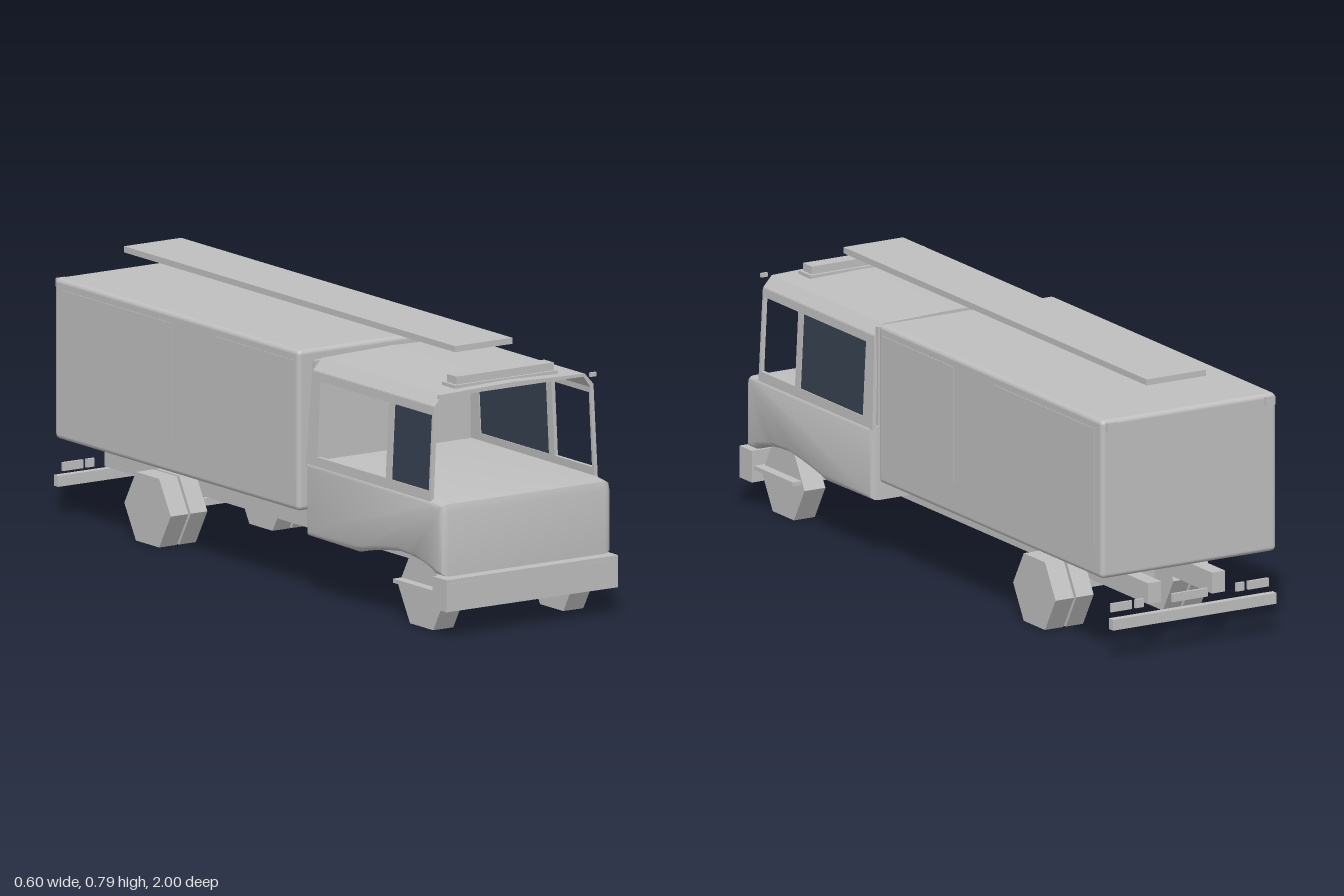
import * as THREE from 'three';
import { toCreasedNormals } from 'three/addons/utils/BufferGeometryUtils.js';
import { RoundedBoxGeometry } from 'three/addons/geometries/RoundedBoxGeometry.js';

export function createModel() {
  const truck = new THREE.Group();
  truck.name = 'truck';
  const grey = new THREE.MeshStandardMaterial({ color: 0xbfbfbf });
  grey.name = 'body grey';
  const dark = new THREE.MeshStandardMaterial({ color: 0x364050 });
  dark.name = 'window glass';

  const add = (name, geometry, material = grey) => {
    const mesh = new THREE.Mesh(geometry, material);
    mesh.name = name;
    truck.add(mesh);
    return mesh;
  };
  // Box given by its limits on each axis
  const box = (name, x0, x1, y0, y1, z0, z1) => {
    const g = new THREE.BoxGeometry(x1 - x0, y1 - y0, z1 - z0);
    g.translate((x0 + x1) / 2, (y0 + y1) / 2, (z0 + z1) / 2);
    return add(name, g);
  };
  // The same box on both sides of the truck
  const pair = (name, x0, x1, ...limits) => {
    box(name + 'Left', x0, x1, ...limits);
    box(name + 'Right', -x1, -x0, ...limits);
  };
  const polygon = (points) => new THREE.Shape(points.map((p) => new THREE.Vector2(...p)));
  const rect = (z0, z1, y0, y1) => [[z0, y0], [z1, y0], [z1, y1], [z0, y1]];

  // Shape drawn as (z, y), made into a thin side wall that leans inward with height
  const sideWall = (shape, side, thickness) => {
    const g = new THREE.ExtrudeGeometry(shape, { depth: thickness, bevelEnabled: false });
    g.rotateY(-Math.PI / 2).translate(thickness / 2, 0, 0);
    const p = g.attributes.position;
    for (let i = 0; i < p.count; i++) {
      p.setX(i, p.getX(i) + side * (0.286 - (p.getY(i) - 0.39) * 0.05));
    }
    g.computeVertexNormals();
    return g;
  };

  // Cargo body with flat side panels
  const cargo = new RoundedBoxGeometry(0.588, 0.47, 1.22, 3, 0.014);
  cargo.translate(0, 0.475, -0.36);
  add('cargoBody', cargo);
  pair('frontPanel', 0.29, 0.296, 0.33, 0.68, -0.16, 0.23);
  pair('rearPanel', 0.29, 0.296, 0.33, 0.68, -0.93, -0.385);

  // Lower cab with shallow wheel arches and rounded edges
  const lower = new THREE.Shape();
  lower.moveTo(0.285, 0.175);
  lower.lineTo(0.285, 0.395);
  lower.lineTo(0.905, 0.393);
  lower.lineTo(0.965, 0.385);
  lower.lineTo(0.972, 0.36);
  lower.lineTo(0.972, 0.175);
  lower.lineTo(0.93, 0.175);
  lower.quadraticCurveTo(0.88, 0.205, 0.75, 0.21);
  lower.quadraticCurveTo(0.62, 0.195, 0.54, 0.172);
  lower.closePath();
  const lowerGeo = new THREE.ExtrudeGeometry(lower, {
    depth: 0.544, bevelEnabled: true, bevelThickness: 0.024, bevelSize: 0.016,
    bevelOffset: -0.016, bevelSegments: 3, curveSegments: 6,
  });
  lowerGeo.rotateY(-Math.PI / 2).translate(0.272, 0, 0);
  add('lowerCab', toCreasedNormals(lowerGeo, 0.7));

  // Cab side frames with two window openings each
  const frontWindow = rect(0.71, 0.897, 0.415, 0.635);
  const rearWindow = rect(0.34, 0.682, 0.415, 0.635);
  for (const side of [1, -1]) {
    const frame = polygon([[0.285, 0.385], [0.907, 0.385], [0.905, 0.66], [0.297, 0.66]]);
    frame.holes.push(polygon(frontWindow), polygon(rearWindow));
    add('cabFrame' + (side > 0 ? 'Left' : 'Right'), sideWall(frame, side, 0.012));
  }
  add('rearGlassLeft', sideWall(polygon(rearWindow), 1, 0.006), dark);
  add('frontGlassRight', sideWall(polygon(frontWindow), -1, 0.006), dark);
  box('cabBackWall', -0.272, 0.272, 0.385, 0.688, 0.288, 0.3);

  // Cab roof with sloping edges
  const roof = polygon([
    [0.279, 0.65], [0.276, 0.662], [0.248, 0.693], [0, 0.7], [-0.248, 0.693], [-0.276, 0.662], [-0.279, 0.65],
    [-0.268, 0.65], [-0.243, 0.685], [0.243, 0.685], [0.268, 0.65],
  ]);
  const roofGeo = new THREE.ExtrudeGeometry(roof, { depth: 0.608, bevelEnabled: false });
  roofGeo.translate(0, 0, 0.298);
  add('cabRoof', roofGeo);

  // Roof equipment
  box('lightBarBase', -0.18, 0.18, 0.69, 0.705, 0.805, 0.87);
  box('lightBar', -0.17, 0.17, 0.7, 0.728, 0.815, 0.862);
  box('ladderPlank', -0.1, 0.1, 0.772, 0.79, -0.9, 0.755);
  pair('frontMarker', 0.254, 0.275, 0.686, 0.698, 0.918, 0.926);
  pair('rearMarker', 0.25, 0.282, 0.68, 0.705, -0.982, -0.974);

  // Chassis rails and rear fittings
  pair('chassisRail', 0.085, 0.13, 0.14, 0.202, -0.955, 0.85);
  box('rearBumper', -0.275, 0.275, 0.093, 0.125, -1, -0.978);
  pair('tailLamp', 0.195, 0.265, 0.14, 0.165, -0.975, -0.967);
  pair('reverseLamp', 0.155, 0.183, 0.14, 0.165, -0.975, -0.967);
  box('rearPlate', -0.06, 0.06, 0.14, 0.165, -0.975, -0.967);

  // Front bumper, headlamps and wheel steps
  box('frontBumper', -0.3, 0.3, 0.078, 0.172, 0.93, 0.998);
  pair('headlamp', 0.205, 0.27, 0.126, 0.16, 0.996, 1);
  pair('headlampOuter', 0.27, 0.288, 0.13, 0.16, 0.996, 1);
  pair('headlampInner', 0.185, 0.205, 0.126, 0.16, 0.996, 1);
  pair('wheelStep', 0.2, 0.292, 0.115, 0.127, 0.72, 0.93);

  // Six-sided wheels: single at the front, double at the rear
  const wheel = (name, x0, x1, z) => {
    for (const side of [1, -1]) {
      const g = new THREE.CylinderGeometry(0.116, 0.116, x1 - x0, 6).toNonIndexed();
      g.computeVertexNormals();
      g.rotateZ(Math.PI / 2).translate(side * (x0 + x1) / 2, 0.1005, z);
      add(name + (side > 0 ? 'Left' : 'Right'), g);
    }
  };
  wheel('frontWheel', 0.192, 0.262, 0.82);
  wheel('rearOuterWheel', 0.2, 0.262, -0.55);
  wheel('rearInnerWheel', 0.134, 0.192, -0.55);

  // Axles
  for (const z of [0.82, -0.55]) box('axle', -0.2, 0.2, 0.09, 0.112, z - 0.012, z + 0.012);

  return truck;
}
